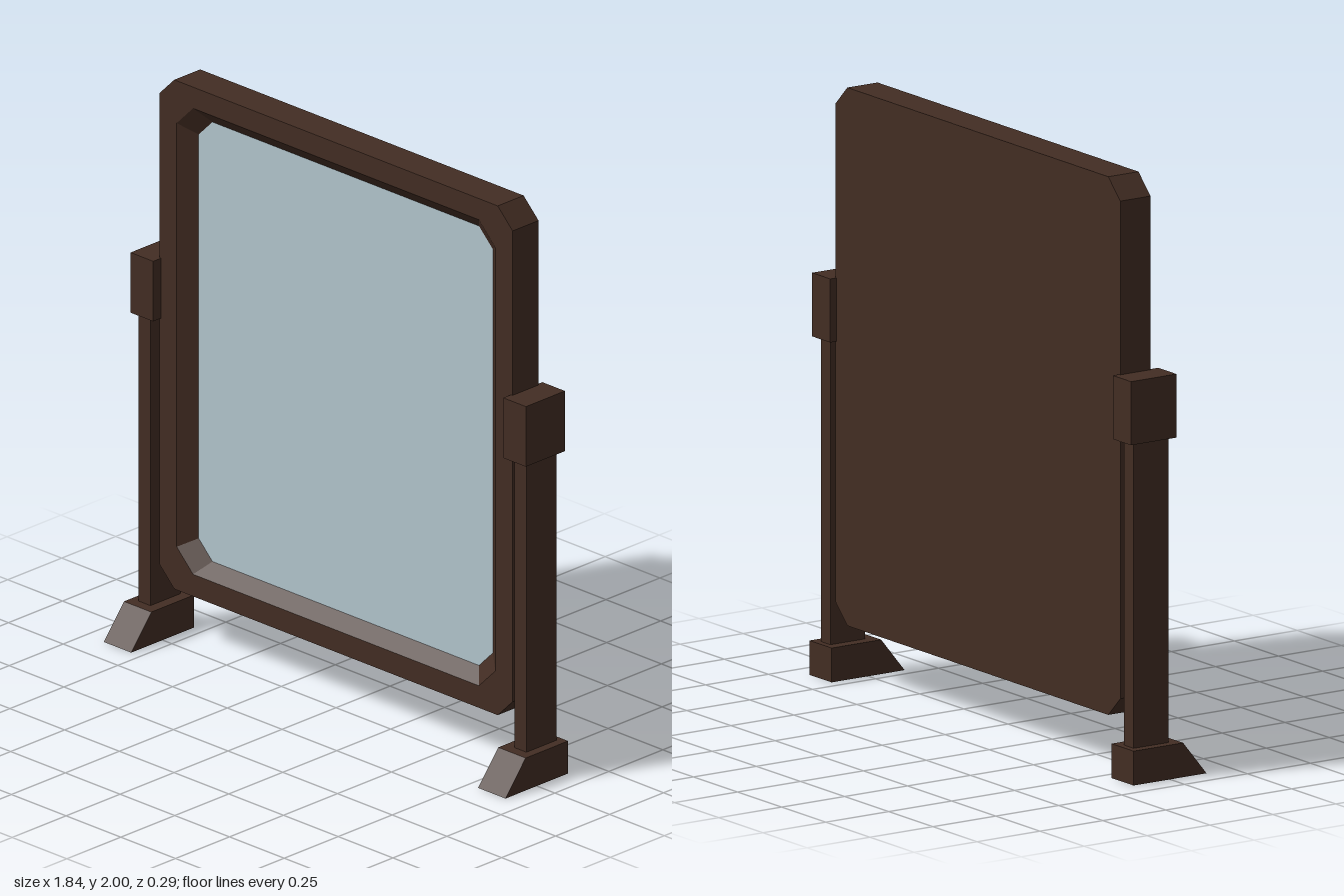
import * as THREE from 'three';

const wood = new THREE.MeshStandardMaterial({ color: 0x432d23 });
wood.name = 'darkWood';
const glassMat = new THREE.MeshStandardMaterial({ color: 0xb3c6ce });
glassMat.name = 'paleGlass';

// Rectangle outline with cut corners, counter-clockwise
function cutRect(hw, y0, y1, c) {
  return [
    [-hw + c, y0], [hw - c, y0], [hw, y0 + c], [hw, y1 - c],
    [hw - c, y1], [-hw + c, y1], [-hw, y1 - c], [-hw, y0 + c],
  ].map(([x, y]) => new THREE.Vector2(x, y));
}

// Flat-faced surface joining successive outlines, each placed at its own z
function loft(rings) {
  const pos = [];
  for (let r = 0; r + 1 < rings.length; r++) {
    const a = rings[r], b = rings[r + 1], n = a.pts.length;
    for (let i = 0; i < n; i++) {
      const j = (i + 1) % n;
      const v = (ring, k) => [ring.pts[k].x, ring.pts[k].y, ring.z];
      pos.push(...v(a, i), ...v(a, j), ...v(b, j), ...v(a, i), ...v(b, j), ...v(b, i));
    }
  }
  const g = new THREE.BufferGeometry();
  g.setAttribute('position', new THREE.Float32BufferAttribute(pos, 3));
  g.computeVertexNormals();
  return g;
}

function addMesh(parent, name, geometry, material) {
  const m = new THREE.Mesh(geometry, material);
  m.name = name;
  parent.add(m);
  return m;
}

function addBox(parent, name, [x0, x1], [y0, y1], [z0, z1]) {
  const m = addMesh(parent, name, new THREE.BoxGeometry(x1 - x0, y1 - y0, z1 - z0), wood);
  m.position.set((x0 + x1) / 2, (y0 + y1) / 2, (z0 + z1) / 2);
}

export function createModel() {
  const model = new THREE.Group();
  model.name = 'tiltingMirror';

  const outer = cutRect(0.807, 0.197, 2, 0.068);
  const rim = cutRect(0.728, 0.275, 1.925, 0.075);
  const inner = cutRect(0.672, 0.32, 1.876, 0.063);
  const back = -0.12, recess = -0.045;

  // Frame: outer sides, front face and sloped inner lip
  addMesh(model, 'frame', loft([
    { pts: outer, z: back }, { pts: outer, z: 0 },
    { pts: rim, z: 0 }, { pts: inner, z: recess },
  ]), wood);

  // Back panel faces -z
  const panel = addMesh(model, 'backPanel', new THREE.ShapeGeometry(new THREE.Shape(outer)), wood);
  panel.rotation.y = Math.PI;
  panel.position.z = back;

  // Mirror glass at the bottom of the recess
  const glass = addMesh(model, 'glass', new THREE.ShapeGeometry(new THREE.Shape(inner)), glassMat);
  glass.position.z = recess;

  // Foot side profile with a sloped toe, drawn as (z, y)
  const footProfile = new THREE.Shape([
    [-0.145, 0], [0.145, 0], [0.052, 0.115], [-0.145, 0.115],
  ].map(([z, y]) => new THREE.Vector2(z, y)));
  const footWidth = 0.125;
  const footGeo = new THREE.ExtrudeGeometry(footProfile, { depth: footWidth, bevelEnabled: false });
  footGeo.translate(0, 0, -footWidth / 2);
  footGeo.rotateY(-Math.PI / 2);
  // Turned so the profile's first axis points to +z

  for (const [side, s] of [['left', 1], ['right', -1]]) {
    const stand = new THREE.Group();
    stand.name = side + 'Stand';
    const span = (a, b) => (s > 0 ? [a, b] : [-b, -a]);
    addBox(stand, 'pivotBlock', span(0.8, 0.903), [1.137, 1.35], [-0.145, 0.036]);
    addBox(stand, 'post', span(0.832, 0.886), [0.11, 1.14], [-0.122, 0.016]);
    const foot = addMesh(stand, 'foot', footGeo, wood);
    foot.position.x = s * 0.855;
    model.add(stand);
  }
  return model;
}
